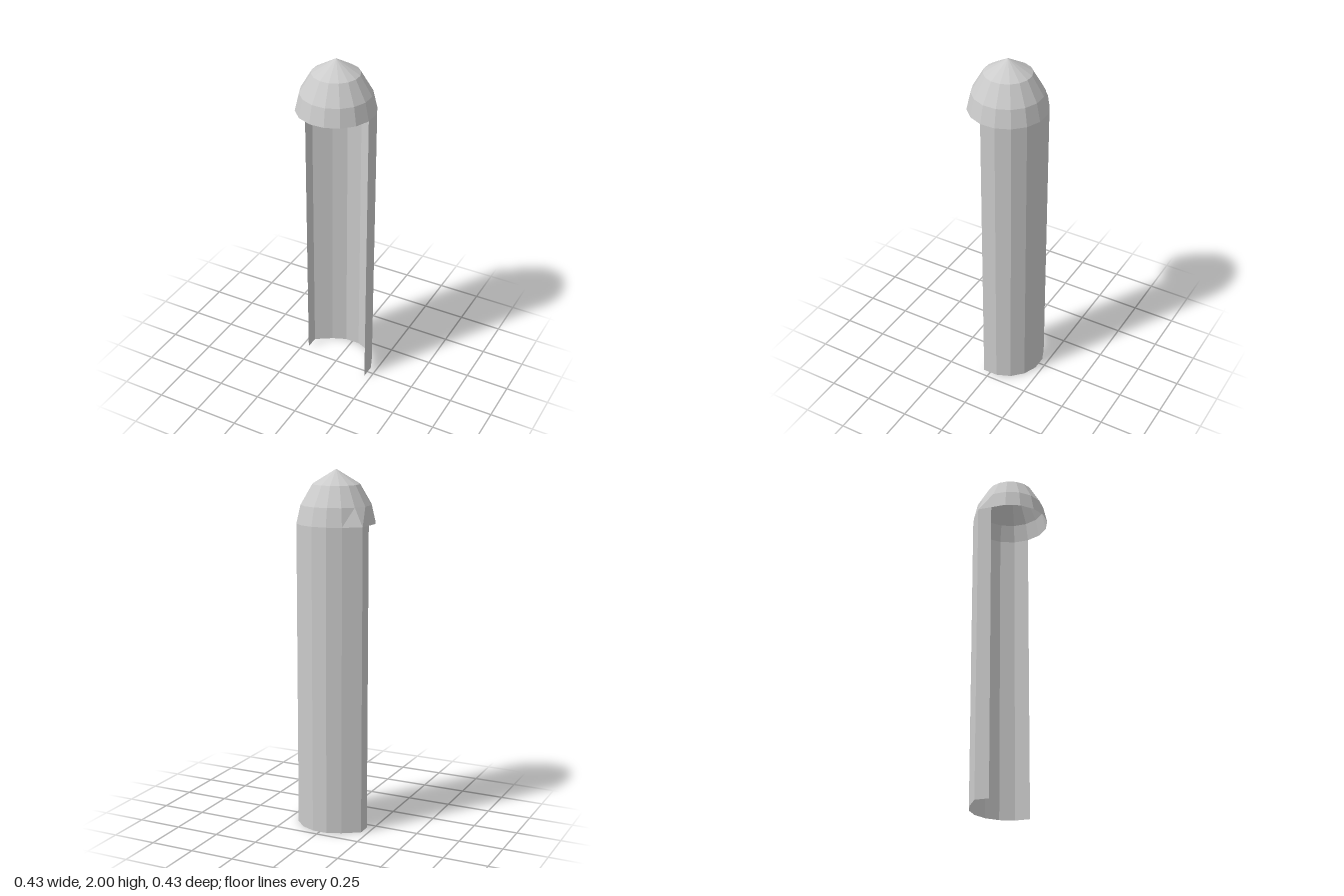
import * as THREE from 'three';

const SIDES = 16;
const RIM_RADIUS = 0.217;
const RIM_HEIGHT = 1.71;
const DENT_INDEX = 6; // the one rim corner pulled out to the side

// Corner k of a ring, counted from the right side round the back
function corner(k, radius, y) {
  const angle = ((k + 0.5) * Math.PI * 2) / SIDES;
  const point = new THREE.Vector3(Math.cos(angle) * radius, y, -Math.sin(angle) * radius);
  if (k === DENT_INDEX && radius === RIM_RADIUS) point.x = -0.213;
  return point;
}

// Faceted open shell through rings of [radius, y], covering corners first..last
function shell(name, rings, first, last, material) {
  const points = [];
  for (let i = 0; i < rings.length - 1; i++) {
    for (let k = first; k < last; k++) {
      const a = corner(k % SIDES, ...rings[i]);
      const b = corner((k + 1) % SIDES, ...rings[i]);
      const c = corner((k + 1) % SIDES, ...rings[i + 1]);
      const d = corner(k % SIDES, ...rings[i + 1]);
      points.push(a, b, c);
      if (rings[i + 1][0] > 0) points.push(a, c, d);
    }
  }
  const geometry = new THREE.BufferGeometry().setFromPoints(points);
  geometry.computeVertexNormals();
  const mesh = new THREE.Mesh(geometry, material);
  mesh.name = name;
  return mesh;
}

export function createModel() {
  const group = new THREE.Group();
  group.name = 'domedNiche';
  const material = new THREE.MeshStandardMaterial({
    color: 0xcccccc,
    flatShading: true,
    side: THREE.DoubleSide,
  });

  // Half-round wall, open at the front
  group.add(shell('curvedWall', [[RIM_RADIUS, 0], [RIM_RADIUS, RIM_HEIGHT]], -1, 7, material));

  // Full dome on top, overhanging the open front
  const domeRings = [[RIM_RADIUS, RIM_HEIGHT], [0.194, 1.81], [0.13, 1.92], [0, 2]];
  group.add(shell('dome', domeRings, 0, SIDES, material));

  return group;
}
